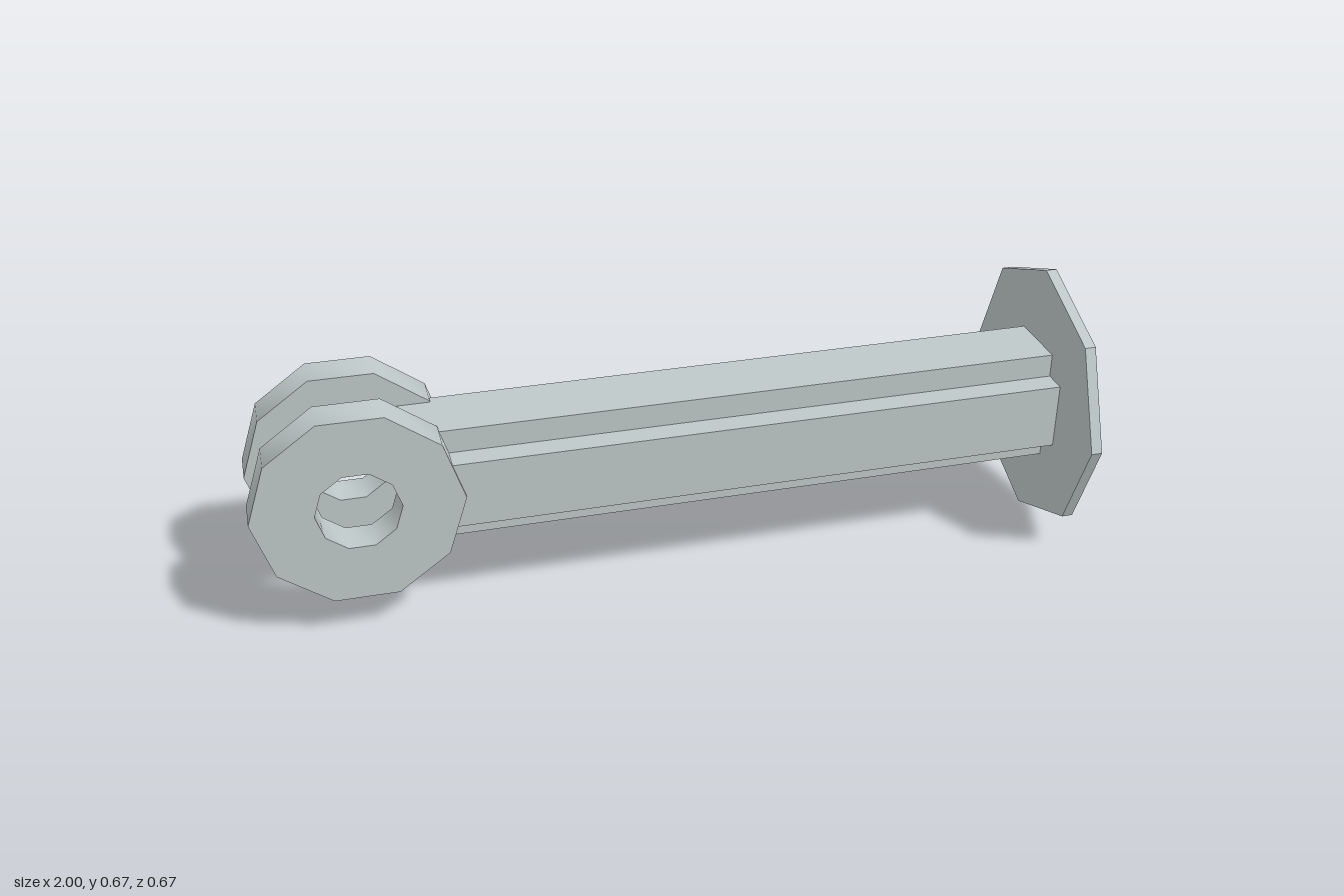
import * as THREE from 'three';
import { toCreasedNormals } from 'three/addons/utils/BufferGeometryUtils.js';

const AXIS_Y = 0.335;

// Regular polygon points around (0, 0), first corner on +x
function polygon(radius, sides) {
  return Array.from({ length: sides }, (_, i) => {
    const a = (i / sides) * Math.PI * 2;
    return new THREE.Vector2(Math.cos(a) * radius, Math.sin(a) * radius);
  });
}

function extrude(shape, depth) {
  return new THREE.ExtrudeGeometry(shape, { depth, bevelEnabled: false });
}

export function createModel() {
  const group = new THREE.Group();
  const metal = new THREE.MeshStandardMaterial({ color: 0xbec8c8 });
  metal.name = 'pale grey metal';

  function add(name, geometry, x, y, z) {
    const mesh = new THREE.Mesh(geometry, metal);
    mesh.name = name;
    mesh.position.set(x, y, z);
    group.add(mesh);
  }

  // Beam with a plus-shaped section, running along x
  const o = 0.142, i = 0.083;
  const plus = new THREE.Shape([
    [i, -o], [i, -i], [o, -i], [o, i], [i, i], [i, o],
    [-i, o], [-i, i], [-o, i], [-o, -i], [-i, -i], [-i, -o],
  ].map(([x, y]) => new THREE.Vector2(x, y)));
  add('beam', extrude(plus, 1.605).rotateY(Math.PI / 2), -0.631, AXIS_Y, 0);

  // Octagonal end plate
  const octagon = new THREE.Shape(polygon(0.335, 8));
  add('endPlate', extrude(octagon, 0.027).rotateY(Math.PI / 2), 0.973, AXIS_Y, 0);

  // Pair of ten-sided eyelets, rounded around the rim with sharp faces
  const ring = new THREE.Shape(polygon(0.247, 10));
  ring.holes.push(new THREE.Path(polygon(0.1, 10)));
  const eyelet = toCreasedNormals(extrude(ring, 0.09), 0.7);
  add('frontEyelet', eyelet, -0.753, AXIS_Y, 0.062);
  add('backEyelet', eyelet, -0.753, AXIS_Y, -0.152);

  return group;
}
